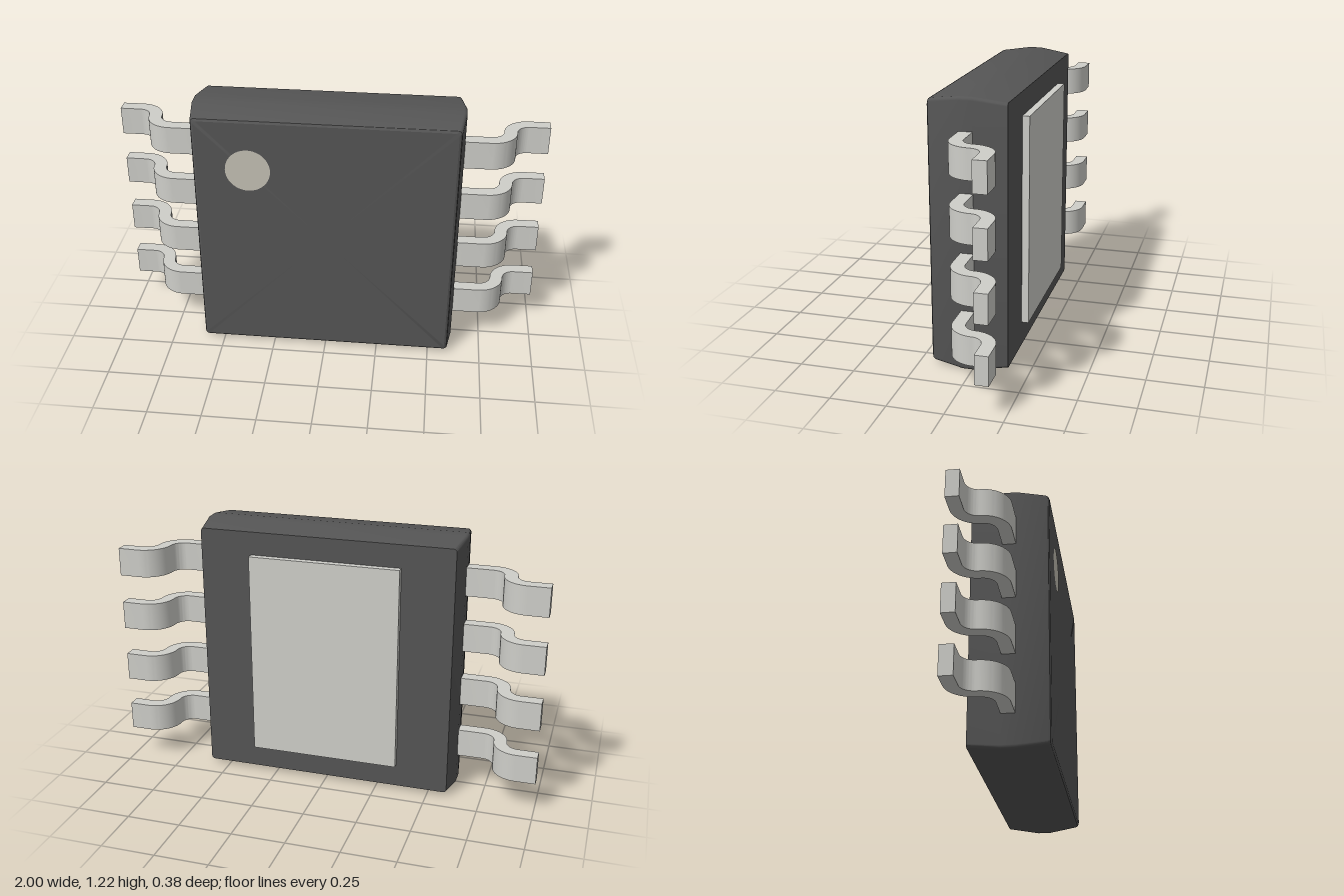
import * as THREE from 'three';
import { toCreasedNormals } from 'three/addons/utils/BufferGeometryUtils.js';

const MID_Y = 0.6125;
const metal = new THREE.MeshStandardMaterial({ color: 0xcecec9 });
const plastic = new THREE.MeshStandardMaterial({ color: 0x555555 });
const dotPaint = new THREE.MeshStandardMaterial({ color: 0xc4c0b4 });

function addMesh(parent, name, geometry, material, x = 0, y = 0, z = 0) {
  const mesh = new THREE.Mesh(geometry, material);
  mesh.name = name;
  mesh.position.set(x, y, z);
  parent.add(mesh);
  return mesh;
}

// Rounded square outline, counter-clockwise seen from the front
function roundedSquare(half, radius, z, steps = 4) {
  const ring = [];
  for (let corner = 0; corner < 4; corner++) {
    const mid = Math.PI / 4 + corner * Math.PI / 2;
    const cx = Math.sign(Math.cos(mid)) * (half - radius);
    const cy = Math.sign(Math.sin(mid)) * (half - radius);
    for (let k = 0; k <= steps; k++) {
      const a = (corner + k / steps) * Math.PI / 2;
      ring.push([cx + radius * Math.cos(a), cy + radius * Math.sin(a), z]);
    }
  }
  return ring;
}

// Moulded body: drafted walls, a flat parting band and a softened front edge
function bodyGeometry() {
  const sections = [
    [-0.158, 0.591], [-0.015, 0.612], [0.045, 0.612],
    [0.175, 0.594], [0.184, 0.59], [0.19, 0.58],
  ];
  const rings = sections.map(([z, half]) => roundedSquare(half, 0.015, z));
  const n = rings[0].length;
  const last = rings.length - 1;
  const positions = [];
  const tri = (a, b, c) => positions.push(...a, ...b, ...c);
  for (let j = 0; j < n; j++) {
    const k = (j + 1) % n;
    for (let i = 0; i < last; i++) {
      tri(rings[i][j], rings[i][k], rings[i + 1][k]);
      tri(rings[i][j], rings[i + 1][k], rings[i + 1][j]);
    }
    tri([0, 0, sections[0][0]], rings[0][k], rings[0][j]);
    tri([0, 0, sections[last][0]], rings[last][j], rings[last][k]);
  }
  const geometry = new THREE.BufferGeometry();
  geometry.setAttribute('position', new THREE.Float32BufferAttribute(positions, 3));
  return toCreasedNormals(geometry, 0.45);
}

// Gull-wing lead: S-shaped strip in plan, extruded over its width
function leadGeometry(width) {
  const inner = 0.0575, outer = 0.1175, q = Math.PI / 2;
  const shape = new THREE.Shape();
  shape.moveTo(0.57, -0.045);
  shape.lineTo(0.73, -0.045);
  shape.absarc(0.73, 0.0725, outer, -q, 0, false);
  shape.absarc(0.905, 0.0725, inner, Math.PI, q, true);
  shape.lineTo(1, 0.13);
  shape.lineTo(1, 0.19);
  shape.lineTo(0.905, 0.19);
  shape.absarc(0.905, 0.0725, outer, q, Math.PI, false);
  shape.absarc(0.73, 0.0725, inner, 0, -q, true);
  shape.lineTo(0.57, 0.015);
  shape.closePath();
  const geometry = new THREE.ExtrudeGeometry(shape, { depth: width, bevelEnabled: false, curveSegments: 10 });
  geometry.translate(0, 0, -width / 2);
  geometry.rotateX(-Math.PI / 2);
  return toCreasedNormals(geometry, 0.6);
}

export function createModel() {
  const model = new THREE.Group();
  model.name = 'chipPackage';

  addMesh(model, 'body', bodyGeometry(), plastic, 0, MID_Y, 0);
  addMesh(model, 'pinOneDot', new THREE.CircleGeometry(0.102, 48), dotPaint, -0.345, 0.96, 0.1915);
  addMesh(model, 'thermalPad', new THREE.BoxGeometry(0.7, 0.962, 0.042), metal, 0, 0.6155, -0.169);

  // Four leads on each side
  const lead = leadGeometry(0.132);
  for (const [side, turn] of [['left', 0], ['right', Math.PI]]) {
    const row = new THREE.Group();
    row.name = side + 'Leads';
    for (let i = 0; i < 4; i++) {
      const mesh = addMesh(row, side + 'Lead' + (i + 1), lead, metal, 0, 0.6155 + (i - 1.5) * 0.266, 0);
      mesh.rotation.z = turn;
    }
    model.add(row);
  }
  return model;
}
